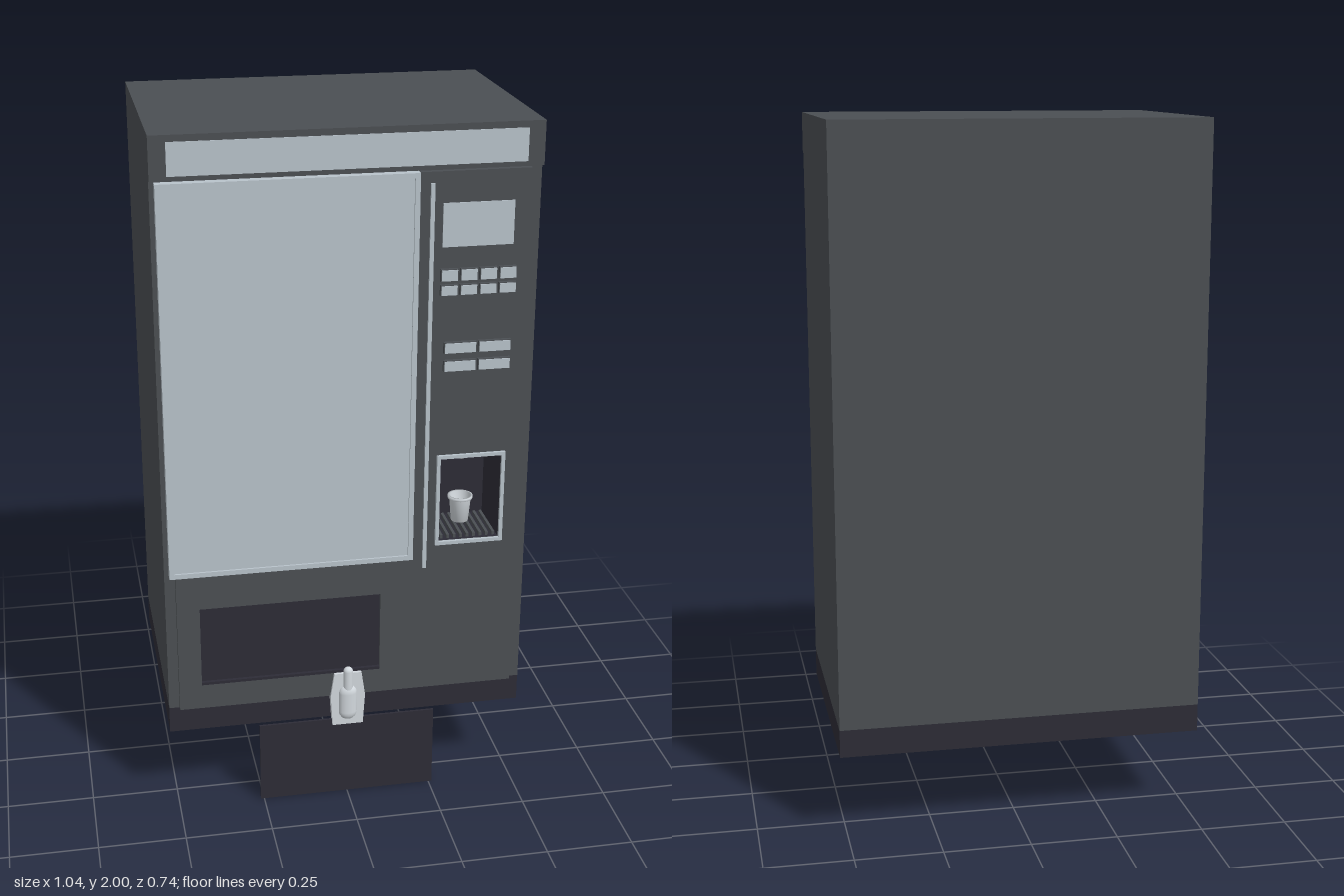
import * as THREE from 'three';

const mat = (name, color, side = THREE.FrontSide) => {
  const m = new THREE.MeshStandardMaterial({ color, side });
  m.name = name;
  return m;
};

export function createModel() {
  const root = new THREE.Group();
  root.name = 'vendingMachine';
  const body = mat('charcoal', 0x4b4f53);
  const dark = mat('nearBlack', 0x2d2c36, THREE.DoubleSide);
  const pale = mat('paleGrey', 0xb9c3cb);
  const silver = mat('silver', 0xd2d8dd, THREE.DoubleSide);

  const add = (name, geo, m, parent = root) => {
    const mesh = new THREE.Mesh(geo, m);
    mesh.name = name;
    parent.add(mesh);
    return mesh;
  };
  const group = (name) => {
    const g = new THREE.Group();
    g.name = name;
    root.add(g);
    return g;
  };
  // Box given by its limits on each axis
  const box = (name, m, x0, x1, y0, y1, z0, z1, parent) => {
    const g = new THREE.BoxGeometry(x1 - x0, y1 - y0, z1 - z0);
    g.translate((x0 + x1) / 2, (y0 + y1) / 2, (z0 + z1) / 2);
    return add(name, g, m, parent);
  };
  const trace = (path, [x0, x1, y0, y1]) => {
    path.moveTo(x0, y0);
    path.lineTo(x1, y0);
    path.lineTo(x1, y1);
    path.lineTo(x0, y1);
    path.closePath();
    return path;
  };
  // Rectangular slab with rectangular openings
  const slab = (name, m, rect, holes, z0, z1) => {
    const s = trace(new THREE.Shape(), rect);
    holes.forEach((h) => s.holes.push(trace(new THREE.Path(), h)));
    const g = new THREE.ExtrudeGeometry(s, { depth: z1 - z0, bevelEnabled: false });
    g.translate(0, 0, z0);
    return add(name, g, m);
  };
  const frame = (name, m, [x0, x1, y0, y1], w, z0, z1) =>
    slab(name, m, [x0, x1, y0, y1], [[x0 + w, x1 - w, y0 + w, y1 - w]], z0, z1);

  // Cabinet, with the cup niche and the hatch cut into its front
  const niche = [0.26, 0.436, 0.805, 1.06];
  const hatch = [-0.425, 0.095, 0.405, 0.65];
  box('cabinetBack', body, -0.52, 0.52, 0.33, 2, -0.372, 0.17);
  slab('cabinetFront', body, [-0.52, 0.52, 0.33, 2], [niche], 0.17, 0.328);
  slab('door', body, [-0.49, 0.49, 0.33, 1.875], [niche, hatch], 0.328, 0.344);
  box('header', body, -0.52, 0.52, 1.88, 2, 0.328, 0.347);
  box('headerPanel', pale, -0.475, 0.475, 1.893, 1.982, 0.345, 0.349);
  box('base', dark, -0.52, 0.52, 0.25, 0.33, -0.372, 0.326);
  box('hatchPanel', dark, hatch[0], hatch[1], hatch[2], hatch[3], 0.326, 0.334);
  box('hatchLip', dark, hatch[0], hatch[1], hatch[2], hatch[2] + 0.008, 0.334, 0.344);
  box('hangingFlap', dark, -0.26, 0.26, 0, 0.25, 0.338, 0.345);

  // Display window and vertical trim
  const win = [-0.507, 0.185, 0.757, 1.876];
  frame('windowFrame', pale, win, 0.014, 0.328, 0.356);
  box('windowPane', pale, -0.494, 0.172, 0.77, 1.863, 0.343, 0.35);
  box('trimStrip', pale, 0.215, 0.226, 0.725, 1.845, 0.343, 0.35);
  box('screen', pale, 0.25, 0.445, 1.67, 1.79, 0.343, 0.347);

  // Button pads
  const buttons = (name, cols, x0, x1, rows) => {
    const g = group(name);
    const pitch = (x1 - x0) / cols;
    for (let c = 0; c < cols; c++) {
      for (const [y0, y1] of rows) {
        const a = x0 + c * pitch + 0.003;
        const b = x0 + (c + 1) * pitch - 0.003;
        box('buttonBase', body, a, b, y0, y1, 0.343, 0.355, g);
        box('buttonFace', pale, a + 0.002, b - 0.002, y0 + 0.002, y1 - 0.002, 0.355, 0.358, g);
      }
    }
  };
  buttons('upperButtons', 4, 0.243, 0.458, [[1.577, 1.611], [1.537, 1.567]]);
  buttons('lowerButtons', 2, 0.257, 0.45, [[1.372, 1.404], [1.32, 1.352]]);

  // Niche lining: a box without its front face
  const [nx0, nx1, ny0, ny1] = niche;
  const lining = box('nicheLining', dark, nx0 + 0.001, nx1 - 0.001, ny0 + 0.001, ny1 - 0.001, 0.173, 0.344);
  const idx = Array.from(lining.geometry.index.array);
  idx.splice(24, 6);
  lining.geometry.setIndex(idx);
  lining.geometry.clearGroups();
  frame('nicheFrame', pale, [0.25, 0.446, 0.795, 1.07], 0.01, 0.343, 0.353);

  // Drip grate
  const grate = group('dripGrate');
  for (let i = 0; i < 9; i++) {
    const x = 0.268 + i * 0.019;
    box('slat', body, x, x + 0.008, 0.807, 0.818, 0.19, 0.335, grate);
  }

  // Cup and nozzle
  const lathe = (name, pts, m, x, y, z) => {
    const g = new THREE.LatheGeometry(pts.map((p) => new THREE.Vector2(p[0], p[1])), 24);
    g.translate(x, y, z);
    return add(name, g, m);
  };
  lathe('cup', [[0, 0], [0.025, 0], [0.031, 0.068], [0.036, 0.07], [0.036, 0.078],
    [0.03, 0.078], [0.024, 0.006], [0, 0.006]], silver, 0.348, 0.82, 0.245);
  lathe('nozzle', [[0, 0], [0.009, 0], [0.011, 0.016], [0.02, 0.022], [0.02, 0.036],
    [0.012, 0.04], [0.012, 0.045]], silver, 0.348, 1.014, 0.245);

  // Lock handle: tapered plate, rounded grip and slim lever
  const handle = group('lockHandle');
  const plate = new THREE.Shape();
  plate.moveTo(-0.045, 0.235);
  plate.lineTo(0.045, 0.235);
  plate.lineTo(0.051, 0.33);
  plate.lineTo(0.04, 0.405);
  plate.lineTo(-0.04, 0.405);
  plate.lineTo(-0.051, 0.33);
  plate.closePath();
  const plateGeo = new THREE.ExtrudeGeometry(plate, { depth: 0.023, bevelEnabled: false });
  plateGeo.translate(0, 0, 0.33);
  add('handlePlate', plateGeo, silver, handle);
  const capsule = (name, r, len, y, z, depth) => {
    const g = new THREE.CapsuleGeometry(r, len, 6, 16);
    g.scale(1, 1, depth);
    g.translate(0, y, z);
    add(name, g, silver, handle);
  };
  capsule('handleGrip', 0.027, 0.06, 0.31, 0.352, 0.65);
  capsule('handleLever', 0.014, 0.13, 0.348, 0.354, 0.9);

  // Product coil running front to back through the floor
  class Helix extends THREE.Curve {
    getPoint(t, target = new THREE.Vector3()) {
      const a = t * 5 * Math.PI * 2;
      return target.set(Math.sin(a) * 0.045, 0.251 + Math.cos(a) * 0.045, 0.3175 - t * 0.475);
    }
  }
  add('productCoil', new THREE.TubeGeometry(new Helix(), 160, 0.0025, 6), body);

  return root;
}
